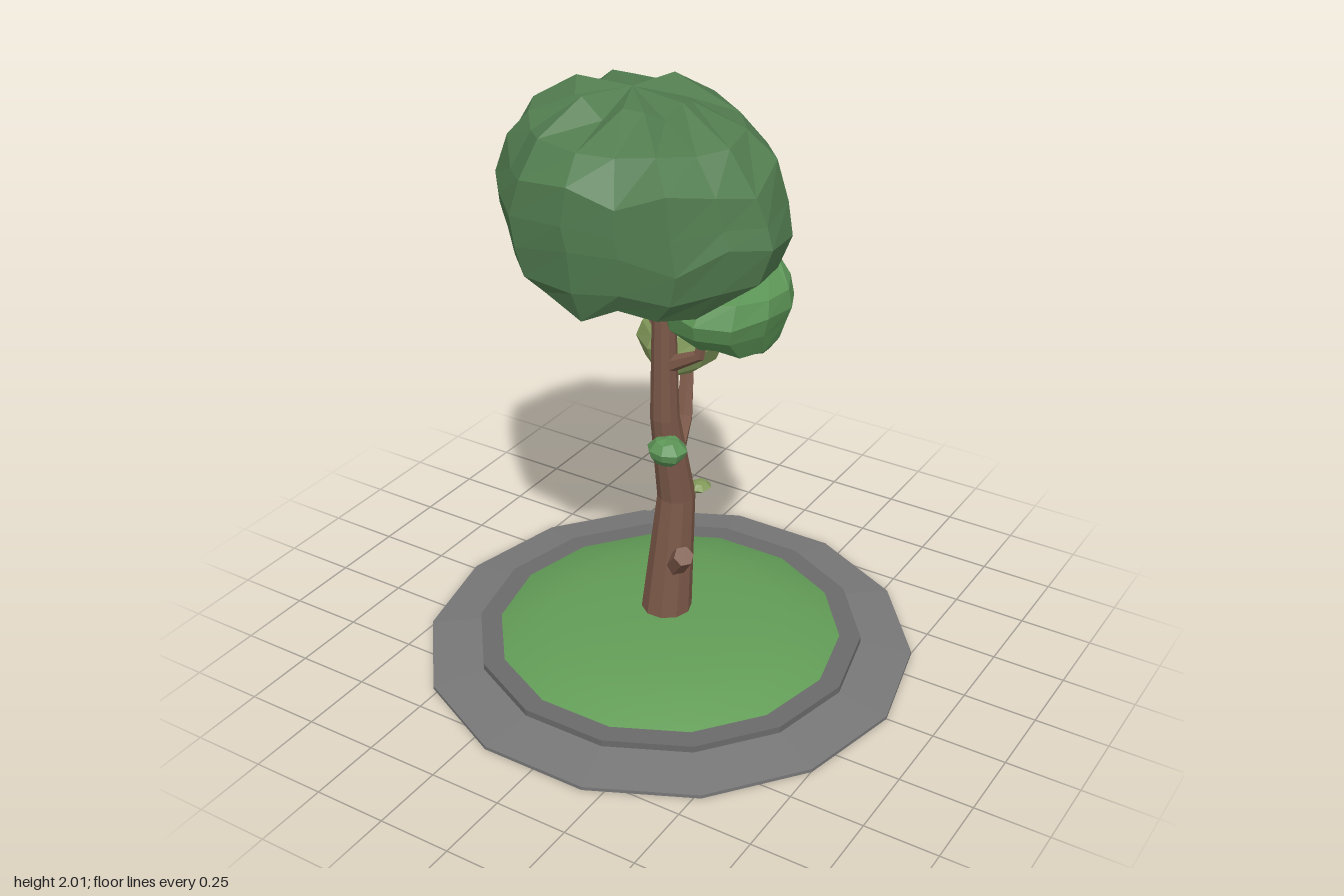
import * as THREE from 'three';

const V = (x, y, z) => new THREE.Vector3(x, y, z);
const colors = {
  stone: 0x777777, kerb: 0x6a6a6a, grass: 0x629c57, bark: 0x7b5848,
  crown: 0x527d50, leaf: 0x5c9456, olive: 0x82995a,
};

function mesh(name, geometry, color, flatShading = true) {
  const m = new THREE.Mesh(geometry, new THREE.MeshStandardMaterial({ color, flatShading }));
  m.name = name;
  return m;
}

// Skin a stack of rings and close both ends with a fan.
function loft(rings, bottom, top) {
  const n = rings[0].length, pts = [...rings.flat(), bottom, top], index = [];
  const b = pts.length - 2, t = pts.length - 1, last = (rings.length - 1) * n;
  for (let i = 0; i < n; i++) {
    const j = (i + 1) % n;
    for (let k = 0; k < last; k += n) {
      index.push(k + i, k + j, k + n + j, k + i, k + n + j, k + n + i);
    }
    index.push(b, j, i, t, last + i, last + j);
  }
  const g = new THREE.BufferGeometry().setFromPoints(pts);
  g.setIndex(index);
  g.computeVertexNormals();
  return g;
}

// Limb along a path of [x, y, z, radius].
function limb(name, path, sides) {
  const c = path.map(([x, y, z]) => V(x, y, z));
  const rings = path.map(([, , , r], k) => {
    const t = c[Math.min(k + 1, c.length - 1)].clone().sub(c[Math.max(k - 1, 0)]).normalize();
    const u = t.clone().cross(V(0, 0, 1)).normalize(), v = t.clone().cross(u);
    return Array.from({ length: sides }, (_, i) => {
      const a = (i / sides) * Math.PI * 2;
      return c[k].clone().addScaledVector(u, r * Math.cos(a)).addScaledVector(v, r * Math.sin(a));
    });
  });
  return mesh(name, loft(rings, c[0], c[c.length - 1]), colors.bark);
}

// Foliage clump: an outline on [-1, 1] fitted into each level [y, xMin, xMax, zMin, zMax].
function foliage(name, color, levels, outline, topRise) {
  const mid = ([y, a, b, c, d], dy = 0) => V((a + b) / 2, y + dy, (c + d) / 2);
  const rings = levels.map(([y, a, b, c, d], k) => outline.map(([ox, oz], i) =>
    V((a + b) / 2 + (ox * (b - a)) / 2,
      y + 0.05 * (levels[levels.length - 1][0] - levels[0][0]) * Math.sin(i * 2.4 + k) * (k % 2 ? 1 : 0.3),
      (c + d) / 2 + (oz * (d - c)) / 2)));
  return mesh(name, loft(rings, mid(levels[0]), mid(levels[levels.length - 1], topRise)), color);
}

const round = (n) => Array.from({ length: n }, (_, i) => {
  const a = (i / n) * Math.PI * 2 + 0.2;
  return [Math.cos(a), -Math.sin(a)];
});

function lathe(name, profile, color, flat) {
  const g = new THREE.LatheGeometry(profile.map(([r, y]) => new THREE.Vector2(r, y)), 14, Math.PI / 2);
  return mesh(name, g, color, flat);
}

export function createModel() {
  const group = new THREE.Group();

  // Ground: paved apron, kerb and grassy mound
  group.add(
    lathe('pavedApron', [[0, 0], [0.835, 0], [0.835, 0.012], [0.64, 0.04]], colors.stone, true),
    lathe('kerb', [[0.66, 0.03], [0.66, 0.06], [0.58, 0.06]], colors.kerb, true),
    lathe('grassMound', [[0.6, 0.055], [0.5, 0.095], [0.4, 0.118], [0.3, 0.132], [0.2, 0.141],
      [0.1, 0.146], [0, 0.147]], colors.grass, false),
  );

  // Trunk and branches
  group.add(
    limb('trunk', [[-0.01, 0.1, 0.005, 0.088], [0.01, 0.58, -0.03, 0.064],
      [0, 0.9, 0.026, 0.048], [-0.002, 1.5, 0.03, 0.033]], 10),
    limb('cutStub', [[0.02, 0.31, 0.005, 0.04], [0.095, 0.41, 0.06, 0.035]], 6),
    limb('backBranch', [[0, 0.72, -0.01, 0.045], [-0.03, 0.81, -0.145, 0.03], [-0.06, 1.02, -0.22, 0.022]], 6),
    limb('leftBranch', [[0.01, 1.09, 0.03, 0.03], [0.13, 1.155, 0.03, 0.02], [0.16, 1.3, 0.03, 0.014]], 6),
    limb('rightBranch', [[0, 1.2, 0.03, 0.022], [-0.07, 1.28, 0.03, 0.016], [-0.11, 1.42, 0.03, 0.014]], 6),
  );

  // Main crown, with an uneven outline
  const crownOutline = [[1, 0.23], [0.93, -0.2], [0.62, -0.67], [0.23, -0.94], [-0.1, -1], [-0.45, -0.86],
    [-0.74, -0.66], [-0.9, -0.36], [-1, 0.02], [-0.8, 0.4], [-0.58, 0.7], [-0.35, 0.95], [0.04, 1],
    [0.35, 0.92], [0.66, 0.81], [0.85, 0.5]];
  group.add(foliage('mainCrown', colors.crown, [
    [1.36, -0.29, 0.06, -0.12, 0.22],
    [1.42, -0.42, 0.3, -0.27, 0.42],
    [1.5, -0.54, 0.4, -0.36, 0.46],
    [1.62, -0.59, 0.44, -0.4, 0.475],
    [1.7, -0.6, 0.42, -0.41, 0.48],
    [1.81, -0.53, 0.39, -0.36, 0.475],
    [1.91, -0.45, 0.29, -0.28, 0.4],
    [1.975, -0.3, 0.1, -0.13, 0.22],
  ], crownOutline, 0.025));

  // Smaller clumps on the branches
  group.add(
    foliage('leftClump', colors.leaf, [
      [1.225, 0.22, 0.36, -0.06, 0.07],
      [1.25, 0.13, 0.385, -0.15, 0.16],
      [1.32, 0.04, 0.41, -0.19, 0.24],
      [1.375, 0.03, 0.43, -0.2, 0.255],
      [1.44, 0.06, 0.42, -0.17, 0.22],
      [1.485, 0.15, 0.35, -0.14, 0.04],
    ], round(11), 0.01),
    foliage('backClump', colors.olive, [
      [0.975, -0.15, 0, -0.28, -0.1],
      [1.005, -0.19, 0.05, -0.315, -0.07],
      [1.08, -0.22, 0.08, -0.33, -0.045],
      [1.13, -0.2, 0.07, -0.325, -0.06],
      [1.168, -0.13, 0.04, -0.27, -0.09],
    ], round(9), 0.01),
    foliage('frontSprig', colors.leaf, [
      [0.765, 0, 0.075, 0.05, 0.11],
      [0.79, -0.02, 0.1, 0.025, 0.13],
      [0.815, -0.03, 0.11, 0.015, 0.135],
      [0.845, 0, 0.08, 0.035, 0.115],
    ], round(8), 0.005),
    foliage('backSprig', colors.olive, [
      [0.572, 0.045, 0.075, -0.12, -0.08],
      [0.59, 0.02, 0.1, -0.142, -0.055],
      [0.606, 0.04, 0.08, -0.125, -0.075],
    ], round(7), 0.004),
  );
  return group;
}
